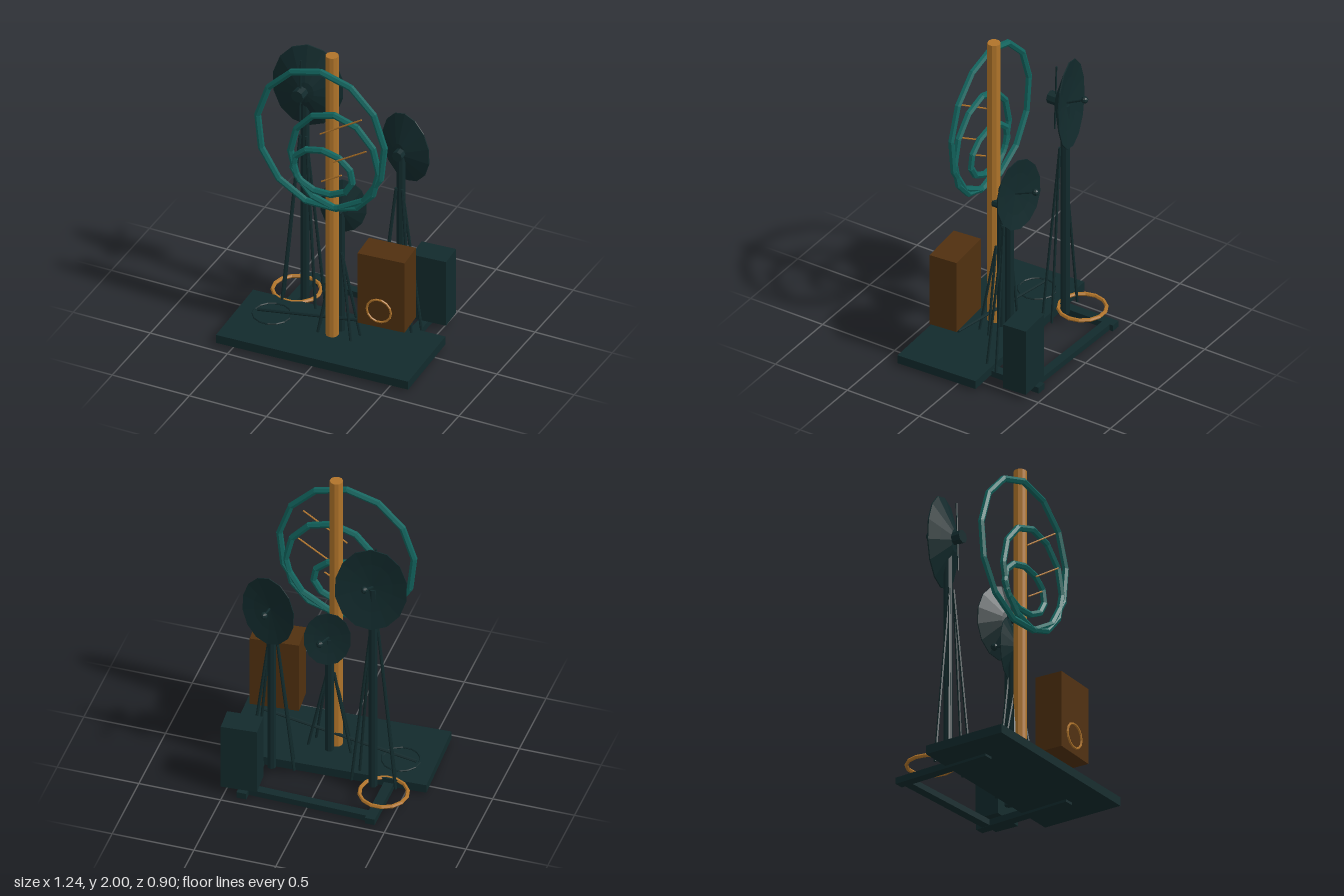
import * as THREE from 'three';

const mat = (name, color) => {
  const m = new THREE.MeshStandardMaterial({ color });
  m.name = name;
  return m;
};

export function createModel() {
  const root = new THREE.Group();
  root.name = 'antennaStation';
  const dark = mat('dark green steel', 0x122a2c);
  const teal = mat('teal paint', 0x12645e);
  const brown = mat('brown cabinet', 0x50300f);
  const amber = mat('amber metal', 0xb0742a);

  // Adds a faceted mesh
  const add = (name, geometry, material, pos = [0, 0, 0], parent = root) => {
    const g = geometry.index ? geometry.toNonIndexed() : geometry;
    g.computeVertexNormals();
    const mesh = new THREE.Mesh(g, material);
    mesh.name = name;
    mesh.position.set(...pos);
    parent.add(mesh);
    return mesh;
  };
  const box = (name, size, pos, material, yaw = 0, parent = root) => {
    const b = add(name, new THREE.BoxGeometry(...size), material, pos, parent);
    b.rotation.y = yaw;
    return b;
  };
  // Straight round bar between two points
  const rod = (name, a, b, r, material, parent = root, sides = 6) => {
    const p = new THREE.Vector3(...a), q = new THREE.Vector3(...b);
    const d = q.clone().sub(p);
    const m = add(name, new THREE.CylinderGeometry(r, r, d.length(), sides), material,
      p.clone().add(q).multiplyScalar(0.5).toArray(), parent);
    m.quaternion.setFromUnitVectors(new THREE.Vector3(0, 1, 0), d.normalize());
    return m;
  };

  // Base slab and the frame under it
  box('baseSlab', [1.224, 0.055, 0.53], [0, 0.043, 0.158], dark, 0.038);
  for (const x of [-0.395, 0.39]) box('baseRail', [0.06, 0.04, 0.65], [x, 0.02, -0.125], dark);
  box('rearCrossBeam', [0.78, 0.038, 0.054], [0, 0.021, -0.39], dark, -0.03);

  // Cabinets
  box('rearCabinet', [0.217, 0.44, 0.153], [0.42, 0.26, -0.345], dark, 0.07);
  const cabinet = new THREE.Group();
  cabinet.name = 'frontCabinet';
  cabinet.position.set(0.367, 0, 0.165);
  cabinet.rotation.y = 0.08;
  root.add(cabinet);
  box('cabinetBody', [0.295, 0.48, 0.18], [0, 0.53, 0], brown, 0, cabinet);
  add('cabinetRing', new THREE.TorusGeometry(0.076, 0.007, 6, 14), amber, [-0.012, 0.405, 0.094], cabinet);

  // Central mast
  add('mast', new THREE.CylinderGeometry(0.039, 0.039, 1.95, 10), amber, [0, 1.025, 0.137]);

  // Loop antennas with their pointer bars
  const loops = [
    [-0.045, 1.438, 0.414, 0.465, 13, [-0.04, 1.49], [0.23, 1.665]],
    [0.043, 1.308, 0.286, 0.32, 12, [0.045, 1.32], [0.26, 1.455]],
    [-0.035, 1.215, 0.195, 0.148, 11, [-0.03, 1.165], [0.1, 1.245]],
  ];
  for (const [x, y, rx, ry, n, a, b] of loops) {
    const ring = new THREE.TorusGeometry(1, 0.001, 6, n);
    ring.dispose();
    const pts = [];
    for (let i = 0; i < n; i++) {
      const t = Math.PI / 2 + i * 2 * Math.PI / n;
      pts.push(new THREE.Vector3(Math.cos(t) * rx, Math.sin(t) * ry, 0));
    }
    const path = new THREE.CurvePath();
    pts.forEach((p, i) => path.add(new THREE.LineCurve3(p, pts[(i + 1) % n])));
    pts.forEach((p, i) => {
      const q = pts[(i + 1) % n], e = q.clone().sub(p).setLength(0.004);
      const o = new THREE.Vector3(x, y, 0.193);
      rod('loopSegment', p.clone().sub(e).add(o).toArray(), q.clone().add(e).add(o).toArray(), 0.02, teal);
    });
    rod('loopPointer', [...a, 0.218], [...b, 0.218], 0.005, amber);
  }

  // Dishes on braced posts, open side to the rear
  const dishes = [
    { c: [-0.318, 1.515, -0.19], r: 0.285, depth: 0.09, yaw: 0.22, postZ: -0.15, brace: 1.2, feed: [-0.31, 1.585, -0.29] },
    { c: [0.297, 1.238, -0.23], r: 0.233, depth: 0.075, yaw: -0.22, postZ: -0.165, brace: 1.0, feed: [0.287, 1.29, -0.34] },
    { c: [0.021, 0.905, 0.033], r: 0.185, depth: 0.055, yaw: 0.31, postZ: 0.07, brace: 0.62, feed: [0.033, 0.945, -0.076] },
  ];
  for (const { c, r, depth, yaw, postZ, brace, feed } of dishes) {
    const g = new THREE.Group();
    g.name = 'dishAntenna';
    root.add(g);
    const [x, y, z] = c;
    const profile = [[0, -1], [0.25, -0.9], [0.6, -0.5], [1, -0.04], [1, 0.04], [0.6, -0.14], [0, -0.3]]
      .map(([a, b]) => new THREE.Vector2(a * r, b * depth));
    const bowl = new THREE.LatheGeometry(profile, 14).rotateX(-Math.PI / 2).rotateX(0.04).scale(0.75, 1, 1);
    add('dishBowl', bowl, dark, c, g).rotation.y = yaw;
    // Mount behind the bowl, feed arm in front
    const hubZ = z + depth;
    rod('dishHub', [x, y, hubZ - 0.02], [x, y, hubZ + r * 0.2], r * 0.14, dark, g, 8);
    rod('feedArm', [x, y, z + depth * 0.3], feed, 0.007, dark, g);
    add('feedHorn', new THREE.SphereGeometry(0.022, 8, 6), dark, feed, g);
    // Post and its splayed braces
    rod('dishPost', [x, 0.05, postZ], [x, y - 0.02, postZ], 0.027, dark, g, 8);
    for (const s of [-1, 1]) for (const [dx, dz] of [[0.135, 0.005], [0.11, 0.085]])
      rod('postBrace', [x + s * dx, 0.05, postZ + dz], [x + s * 0.02, brace, postZ + 0.025], 0.009, dark, g);
  }
  rod('dishStrut', [-0.316, 1.74, -0.09], [-0.316, 1.305, -0.078], 0.006, dark);

  // Cable rings and the low slanted pipe
  const flatRing = (name, r, tube, pos, m) =>
    add(name, new THREE.TorusGeometry(r, tube, 6, 14).rotateX(Math.PI / 2), m, pos);
  flatRing('rearCableRing', 0.142, 0.012, [-0.403, 0.062, -0.213], amber);
  flatRing('slabCableRing', 0.113, 0.007, [-0.407, 0.075, 0.103], dark);
  rod('slantedPipe', [-0.5, 0.08, 0.105], [0.43, 0.24, 0.105], 0.01, dark);

  return root;
}
